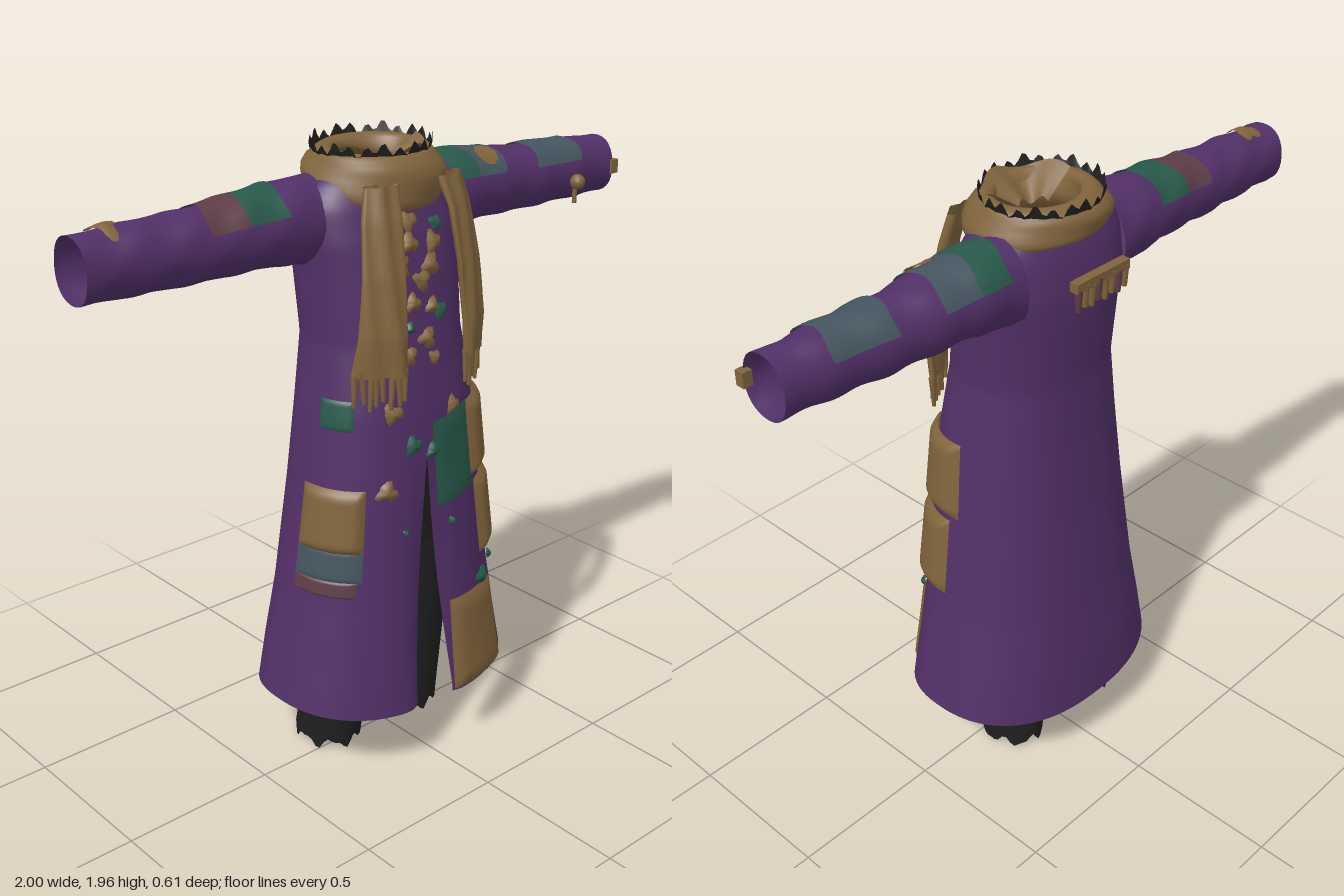
import * as THREE from 'three';
import { mergeVertices } from 'three/addons/utils/BufferGeometryUtils.js';

const { sin, cos, abs, min, max, sqrt, PI } = Math;
const colour = (name, hex) => {
  const m = new THREE.MeshStandardMaterial({ color: hex, side: THREE.DoubleSide });
  m.name = name;
  return m;
};

// Linear lookup in rows sorted by their first value
function lookup(rows, k) {
  let i = 0;
  while (i < rows.length - 2 && k > rows[i + 1][0]) i++;
  const a = rows[i], b = rows[i + 1];
  const f = min(1, max(0, (k - a[0]) / (b[0] - a[0])));
  return a.map((v, j) => v + (b[j] - v) * f);
}

// Smooth surface from fn(u, v) -> [x, y, z]; keep() can leave holes
function grid(fn, nu, nv, keep = () => true) {
  const pos = [], idx = [];
  for (let j = 0; j <= nv; j++) for (let i = 0; i <= nu; i++) pos.push(...fn(i / nu, j / nv));
  for (let j = 0; j < nv; j++) for (let i = 0; i < nu; i++) {
    const a = j * (nu + 1) + i, d = a + nu + 1;
    if (keep(pos[a * 3], pos[a * 3 + 1], pos[a * 3 + 2])) idx.push(a, a + 1, d + 1, a, d + 1, d);
  }
  const g = new THREE.BufferGeometry();
  g.setAttribute('position', new THREE.Float32BufferAttribute(pos, 3));
  g.setIndex(idx);
  const merged = mergeVertices(g, 1e-4);
  merged.computeVertexNormals();
  return merged;
}

// Coat sections: y, half width, front z, back z
const BODY = [
  [0.22, 0.437, 0.295, -0.308], [0.4, 0.40, 0.28, -0.295], [0.6, 0.36, 0.265, -0.272],
  [0.95, 0.31, 0.242, -0.24], [1.2, 0.28, 0.225, -0.22], [1.4, 0.25, 0.195, -0.212],
  [1.6, 0.262, 0.165, -0.222], [1.7, 0.275, 0.145, -0.222], [1.8, 0.27, 0.115, -0.2],
  [1.86, 0.235, 0.09, -0.178], [1.9, 0.17, 0.06, -0.14],
];
const P = 0.85;
const pw = (v) => Math.sign(v) * abs(v) ** P;
const slit = (y) => min(1, max(0, (1.05 - y) / 0.8));

// Point on the coat; t = 0 faces front, positive t goes to +x
function surf(t, y, off = 0) {
  const [, hw, zf, zb] = lookup(BODY, y);
  const mid = (zf + zb) / 2, d = (zf - zb) / 2;
  const x = (hw + off) * pw(sin(t));
  let z = mid + (d + off) * pw(cos(t));
  if (cos(t) > 0) z -= 0.06 * slit(y) * Math.exp(-(((x + 0.03) / 0.06) ** 2));
  return [x, y, z];
}
function angleAt(x, y) {
  const hw = lookup(BODY, y)[1];
  return Math.sign(x) * Math.asin(min(1, abs(x) / hw) ** (1 / P));
}

// Sleeve sections: x, centre y, centre z, radius y, radius z
const SLEEVE = [
  [0.2, 1.74, -0.075, 0.14, 0.115], [0.28, 1.755, -0.072, 0.125, 0.118], [0.38, 1.757, -0.07, 0.115, 0.118],
  [0.5, 1.753, -0.068, 0.108, 0.108], [0.62, 1.747, -0.066, 0.104, 0.1], [0.8, 1.747, -0.062, 0.1, 0.09],
  [1, 1.745, -0.058, 0.093, 0.08],
];
function sleeveAt(side, x, a, off = 0) {
  const [, cy, cz, ry, rz] = lookup(SLEEVE, x);
  const fold = 0.004 * sin(x * 38 + 2 * a) * sin(a * 2);
  const shift = side * 0.02 * max(0, x - 0.5) * 2;
  return [side * x, cy + (ry + off + fold) * sin(a), cz + shift + (rz + off + fold) * cos(a)];
}

export function createModel() {
  const root = new THREE.Group();
  const purple = colour('purple cloth', 0x523068), tan = colour('tan wool', 0x80643c);
  const green = colour('green patch', 0x28594a), teal = colour('grey teal patch', 0x455560);
  const brown = colour('brown patch', 0x5d3e48), black = colour('black cloth', 0x1f1f1f);
  const add = (name, geo, mat) => {
    const m = new THREE.Mesh(geo, mat);
    m.name = name;
    root.add(m);
    return m;
  };

  // Coat body, split at the front, with armholes
  add('coat', grid((u, v) => {
    const tm = angleAt(-0.03, 1), hem = 0.225 + 0.035 * sin(tm + u * 2 * PI) ** 2;
    const y = hem + v * (1.9 - hem), k = slit(y);
    const t0 = angleAt(-0.03 + 0.08 * k, y), t1 = 2 * PI + angleAt(-0.03 - 0.06 * k, y);
    return surf(t0 + (t1 - t0) * u, y);
  }, 96, 72, (x, y, z) => !(abs(x) > 0.15 && (y - 1.76) ** 2 + (z + 0.05) ** 2 < 0.06 ** 2)), purple);

  // Sleeves and their wrapped patches
  for (const side of [1, -1]) {
    const end = side > 0 ? 0.982 : 1;
    add(side > 0 ? 'leftSleeve' : 'rightSleeve',
      grid((u, v) => sleeveAt(side, 0.2 + v * (end - 0.2), u * 2 * PI), 32, 40), purple);
  }
  const sleevePatch = (name, mat, side, x0, x1, a0 = 0.4, a1 = 2.75) => add(name, grid((u, v) =>
    sleeveAt(side, x0 + (x1 - x0) * v + 0.008 * sin(u * 9), a0 + (a1 - a0) * u, 0.006), 16, 10), mat);
  sleevePatch('leftShoulderPatch', green, 1, 0.25, 0.36);
  sleevePatch('leftUpperArmPatch', teal, 1, 0.36, 0.485);
  sleevePatch('leftForearmPatch', teal, 1, 0.63, 0.83);
  sleevePatch('rightUpperArmPatch', green, -1, 0.37, 0.5);
  sleevePatch('rightElbowPatch', brown, -1, 0.5, 0.62);
  add('leftSleeveSpot', grid((u, v) => sleeveAt(1, 0.43 + 0.04 * v * cos(u * 2 * PI),
    1.0 + 0.35 * v * sin(u * 2 * PI), 0.012), 9, 2), tan);
  add('rightCuffSplat', grid((u, v) => {
    const a = u * 2 * PI, r = v * (1 + 0.35 * sin(3 * a));
    return sleeveAt(-1, 0.895 + 0.035 * r * cos(a), 1.6 + 0.6 * r * sin(a), 0.014 - 0.008 * v);
  }, 18, 3), tan);

  // Toggle and torn tag near the left cuff
  add('toggleKnob', new THREE.SphereGeometry(0.025, 10, 8), tan).position.set(0.79, 1.725, 0.06);
  add('toggleStem', new THREE.CylinderGeometry(0.008, 0.008, 0.06, 6), tan).position.set(0.79, 1.685, 0.05);
  const pin = add('togglePin', new THREE.CylinderGeometry(0.008, 0.008, 0.06, 6), tan);
  pin.position.set(0.79, 1.725, 0.035);
  pin.rotation.x = PI / 2;
  add('cuffTag', new THREE.BoxGeometry(0.03, 0.045, 0.03), tan).position.set(0.985, 1.745, 0.035);

  // Pockets and patches sewn to the coat, each given by x at its edges
  const patch = (name, mat, x0, x1, y0, y1, bulge = 0, tilt = 0) => add(name, grid((u, v) => {
    const ym = (y0 + y1) / 2, t0 = angleAt(x0, ym), t1 = angleAt(x1, ym);
    const edge = min(1, 8 * min(u, 1 - u, v, 1 - v));
    const y = y0 + (y1 - y0) * v + tilt * (u - 0.5);
    return surf(t0 + (t1 - t0) * u + tilt * (0.5 - v), y, 0.006 + bulge * sqrt(edge));
  }, 16, 16), mat);
  patch('upperPocket', tan, 0.145, 0.305, 0.94, 1.19, 0.022, 0.02);
  patch('lowerPocket', tan, 0.19, 0.332, 0.66, 0.92, 0.022, 0.02);
  patch('hemPatch', tan, 0.05, 0.28, 0.235, 0.55, 0.012);
  patch('frontPatch', green, 0.0, 0.16, 0.89, 1.17, 0.004, 0.03);
  patch('rightPocket', tan, -0.328, -0.235, 0.78, 0.98, 0.018);
  patch('rightHipPatch', teal, -0.342, -0.25, 0.69, 0.79, 0.004);
  patch('rightHipLowerPatch', brown, -0.36, -0.27, 0.64, 0.69, 0.004);
  patch('rightWaistPatch', green, -0.277, -0.235, 1.16, 1.25, 0.004);

  // Small ragged spots: x, y, radius
  const spots = (name, mat, list) => list.forEach(([cx, cy, r], n) => add(name, grid((u, v) => {
    const a = u * 2 * PI, q = r * v * (1 + 0.25 * sin(3 * a + n) + 0.12 * cos(5 * a + n * 2));
    const y = cy + q * sin(a);
    return surf(angleAt(cx + q * cos(a), y), y, 0.014 * (1 - v * v) + 0.005);
  }, 16, 3), mat));
  spots('tanSpot', tan, [
    [-0.09, 1.72, 0.032], [-0.02, 1.75, 0.028], [0.06, 1.68, 0.03], [-0.03, 1.69, 0.03], [0.04, 1.62, 0.032],
    [-0.07, 1.63, 0.03], [0.0, 1.58, 0.03], [-0.1, 1.57, 0.028], [-0.1, 1.5, 0.03], [-0.04, 1.52, 0.026],
    [0.03, 1.5, 0.024], [0.0, 1.41, 0.03], [-0.07, 1.37, 0.026], [0.02, 1.35, 0.02], [-0.14, 1.21, 0.028],
    [0.08, 1.19, 0.026], [-0.17, 0.97, 0.03]]);
  spots('greenSpot', green, [
    [0.08, 1.73, 0.022], [0.06, 1.48, 0.026], [-0.08, 1.1, 0.028], [-0.01, 1.07, 0.024], [-0.06, 1.45, 0.018],
    [0.21, 0.57, 0.03], [0.29, 0.6, 0.014], [-0.12, 0.83, 0.01], [0.06, 0.82, 0.012]]);

  // Scarf wound round the neck, lower at the front
  add('scarfLoop', grid((u, v) => {
    const a = u * 2 * PI, b = v * 2 * PI, f = (cos(a) + 1) / 2;
    const fold = 0.008 * sin(3 * b + 2 * a);
    const r = 0.168 + (0.045 + fold) * cos(b) - 0.015 * sin(b);
    return [r * sin(a), 1.9 - 0.04 * f + (0.05 + 0.03 * f) * sin(b), -0.035 + r * 0.93 * cos(a)];
  }, 48, 20), tan);
  add('scarfInnerFold', grid((u, v) => {
    const a = (u - 0.5) * 3, r = 0.15 - 0.1 * v;
    return [r * sin(a), 1.95 - 0.07 * v + 0.012 * sin(u * 14), -0.03 + r * cos(a)];
  }, 24, 6), tan);

  // Hanging scarf ends with fringe
  const PATH = [[0, 0.13, 1.87, 0.14, 0.1], [0.15, 0.15, 1.78, 0.165, 0.3], [0.4, 0.165, 1.62, 0.195, 0.4],
    [0.75, 0.175, 1.45, 0.215, 0.5], [1, 0.18, 1.34, 0.21, 0.6]];
  for (const side of [1, -1]) {
    const tag = side > 0 ? 'left' : 'right', shift = side > 0 ? -0.005 : 0.015;
    const at = (w, s, out) => {
      const [, cx, y, z, slope] = lookup(PATH, s);
      const wide = 0.055 + 0.015 * s;
      return [side * (cx + shift * s + wide * w), y, z + out - slope * wide * w + 0.006 * sin(w * 6 + s * 5)];
    };
    add(tag + 'ScarfEnd', grid((u, v) => at(cos(u * 2 * PI), v, 0.022 * sin(u * 2 * PI)), 24, 30), tan);
    for (let i = 0; i < 8; i++) {
      const [x, y, z] = at(-0.9 + i * 0.257, 1, 0);
      const strand = add(tag + 'ScarfFringe', new THREE.CylinderGeometry(0.011, 0.006, 0.1, 6), tan);
      strand.position.set(x, y - 0.03 - 0.012 * (i % 3), z);
      strand.rotation.z = 0.08 * sin(i * 2.3);
    }
  }

  // Short fringed strip on the upper back
  add('backStrip', new THREE.BoxGeometry(0.22, 0.03, 0.03), tan).position.set(-0.045, 1.725, -0.23);
  for (let i = 0; i < 8; i++) {
    const s = add('backFringe', new THREE.CylinderGeometry(0.014, 0.009, 0.07, 6), i % 3 === 1 ? brown : tan);
    s.position.set(-0.145 + i * 0.028, 1.69 - 0.008 * (i % 2), -0.235);
  }

  // Ragged black collar inside the scarf
  add('collar', grid((u, v) => {
    const a = u * 2 * PI, r = 0.15 + 0.035 * v;
    const rag = v > 0.99 ? 0.014 * sin(u * 2 * PI * 23) + 0.008 * sin(u * 2 * PI * 9) : 0;
    return [r * sin(a), 1.84 + 0.115 * v + rag, -0.05 + r * 0.93 * cos(a)];
  }, 96, 4), black);

  // Trousers: open legs with torn ends, and hips
  for (const side of [1, -1]) {
    add(side > 0 ? 'leftLeg' : 'rightLeg', grid((u, v) => {
      const a = u * 2 * PI, r = 0.098 + 0.022 * v;
      const rag = v < 0.01 ? 0.015 * sin(a * 7) + 0.008 * sin(a * 13) : 0;
      return [side * (0.15 - 0.03 * v) - (side < 0 ? 0.04 * (1 - v) : 0) + r * sin(a),
        0.03 + 0.71 * v + rag, -0.058 + 0.075 * v + r * 1.18 * cos(a)];
    }, 48, 12), black);
  }
  add('hips', grid((u, v) => {
    const a = u * 2 * PI;
    return [(0.24 - 0.02 * v) * sin(a), 0.72 + 0.4 * v, 0.01 + 0.145 * cos(a)];
  }, 40, 6), black);

  return root;
}
